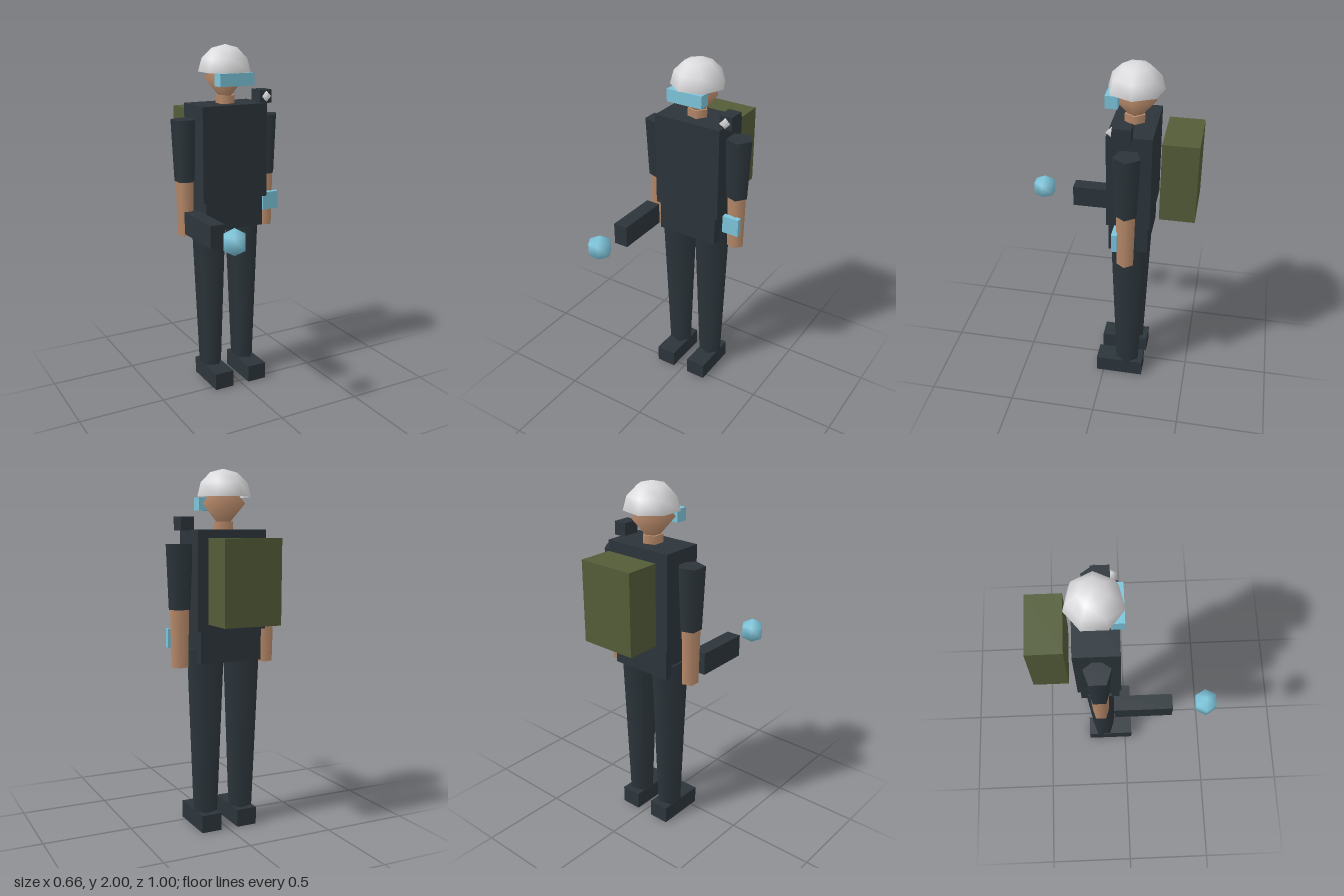
import * as THREE from 'three';

const material = (name, color, side = THREE.FrontSide) => {
  const m = new THREE.MeshStandardMaterial({ color, side });
  m.name = name;
  return m;
};

export function createModel() {
  const dark = material('dark cloth', 0x2c353b);
  const skin = material('skin', 0xb88a6a);
  const cyan = material('cyan glass', 0x7cc4da);
  const olive = material('olive canvas', 0x535c38);
  const white = material('pale shell', 0xdadadc, THREE.DoubleSide);

  const model = new THREE.Group();
  model.name = 'explorer';
  const X = -0.007, Z = -0.143; // body axis

  const add = (name, geometry, mat, x, y, z) => {
    const mesh = new THREE.Mesh(geometry, mat);
    mesh.name = name;
    mesh.position.set(x, y, z);
    model.add(mesh);
    return mesh;
  };
  // Box given by its extents on each axis
  const box = (name, mat, [x0, x1], [y0, y1], [z0, z1]) =>
    add(name, new THREE.BoxGeometry(x1 - x0, y1 - y0, z1 - z0), mat,
      (x0 + x1) / 2, (y0 + y1) / 2, (z0 + z1) / 2);
  // Five-sided tapered limb with one corner towards +x
  const limb = (name, mat, x, y0, y1, rBottom, rTop) =>
    add(name, new THREE.CylinderGeometry(rTop, rBottom, y1 - y0, 5, 1, false, Math.PI / 2),
      mat, x, (y0 + y1) / 2, Z);
  // Coarse ball with one corner towards +x
  const ball = (name, mat, r, sides, rings, x, y, z, arc = Math.PI) =>
    add(name, new THREE.SphereGeometry(r, sides, rings, Math.PI, Math.PI * 2, 0, arc), mat, x, y, z);

  // Body
  box('torso', dark, [-0.21, 0.197], [1.135, 1.675], [-0.263, -0.024]);
  box('hips', dark, [-0.19, 0.175], [0.962, 1.135], [-0.25, -0.034]);

  // Limbs, mirrored in position
  for (const [side, s] of [['left', 1], ['right', -1]]) {
    const legX = X + s * 0.11, armX = X + s * 0.261;
    limb(side + 'Leg', dark, legX, 0.09, 1.03, 0.07, 0.107);
    box(side + 'Boot', dark, [legX - 0.059, legX + 0.059], [0, 0.1], [-0.238, 0.042]);
    limb(side + 'UpperArm', dark, armX, 1.25, 1.6, 0.061, 0.076);
    limb(side + 'Forearm', skin, armX, 0.935, 1.25, 0.048, 0.054);
  }

  // Head, helmet and visor
  limb('neck', skin, X, 1.64, 1.72, 0.057, 0.057);
  ball('head', skin, 0.122, 5, 2, X, 1.815, Z).scale.y = 1.2;
  ball('helmet', white, 0.153, 7, 3, X, 1.85, Z, Math.PI / 2).scale.y = 0.98;
  box('visor', cyan, [-0.114, 0.1], [1.78, 1.85], [-0.067, 0.001]);

  // Equipment
  box('backpack', olive, [-0.171, 0.157], [1.18, 1.632], [-0.5, -0.307]);
  box('shoulderLamp', dark, [0.173, 0.249], [1.67, 1.745], [-0.16, -0.062]);
  ball('lampBulb', white, 0.031, 5, 2, 0.211, 1.708, -0.056);
  box('wristDisplay', cyan, [0.204, 0.304], [1.038, 1.143], [-0.102, -0.071]);
  box('handheldTool', dark, [-0.31, -0.225], [0.963, 1.09], [-0.067, 0.257]);
  ball('toolOrb', cyan, 0.0745, 6, 3, -0.268, 1.048, 0.444);

  return model;
}
